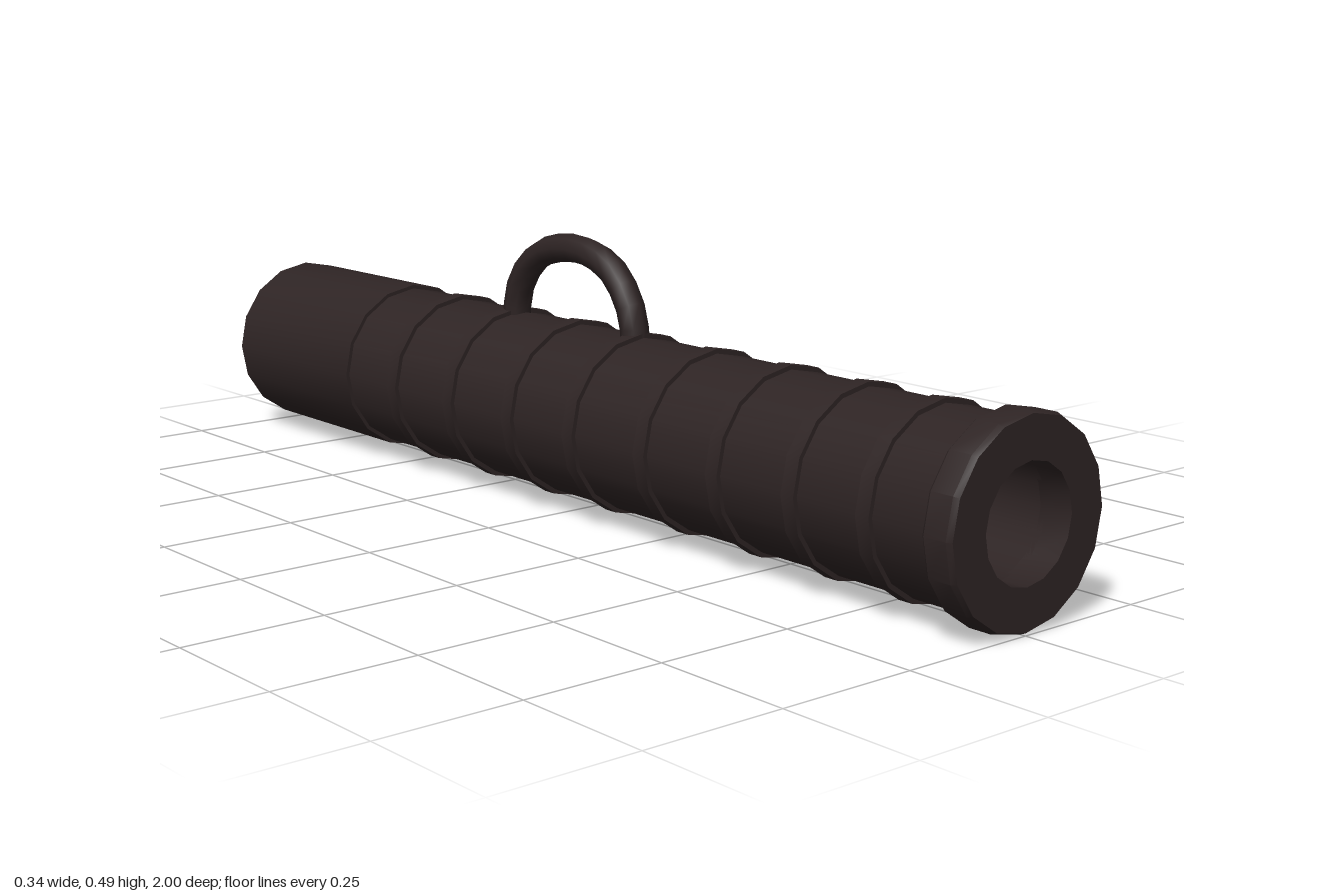
import * as THREE from 'three';
import { toCreasedNormals } from 'three/addons/utils/BufferGeometryUtils.js';

const SIDES = 16;
const AXIS_Y = 0.172;

export function createModel() {
  const group = new THREE.Group();
  const darkMetal = new THREE.MeshStandardMaterial({ color: 0x2e2424 });
  darkMetal.name = 'dark metal';

  const add = (name, geometry) => {
    const mesh = new THREE.Mesh(geometry, darkMetal);
    mesh.name = name;
    group.add(mesh);
    return mesh;
  };

  // Turned part along z: profile of [radius, z], running back to front on the outside
  const turned = (name, profile) => {
    const points = profile.map(([r, z]) => new THREE.Vector2(r, z));
    const geometry = new THREE.LatheGeometry(points, SIDES).rotateX(Math.PI / 2);
    const mesh = add(name, toCreasedNormals(geometry, 0.5));
    mesh.position.y = AXIS_Y;
    return mesh;
  };

  // Main tube with its deep bore
  turned('barrel', [
    [0.155, -0.6], [0.155, 0.95], [0.097, 0.95], [0.097, -0.9], [0, -0.9],
  ]);

  // Flange around the muzzle
  turned('muzzleFlange', [
    [0.097, 0.94], [0.166, 0.94], [0.172, 0.947], [0.172, 0.99],
    [0.168, 1], [0.097, 1], [0.097, 0.94],
  ]);

  // Thicker closed breech with a bevelled end
  turned('breech', [
    [0, -1], [0.146, -1], [0.161, -0.977], [0.162, -0.58], [0.15, -0.58],
  ]);

  // Reinforcing bands
  [0.815, 0.655, 0.48, 0.3, 0.11, -0.065, -0.245, -0.425].forEach((z) => {
    turned('band', [
      [0.15, z - 0.014], [0.163, z - 0.014], [0.163, z + 0.014], [0.15, z + 0.014],
    ]);
  });

  // Arched carrying handle, as [z, y] points
  const arch = [
    [0.1, 0.3], [0.098, 0.345], [0.08, 0.39], [0.04, 0.435], [-0.015, 0.458],
    [-0.075, 0.464], [-0.145, 0.452], [-0.195, 0.423], [-0.228, 0.38],
    [-0.24, 0.335], [-0.242, 0.3],
  ].map(([z, y]) => new THREE.Vector3(0, y, z));
  add('handle', new THREE.TubeGeometry(new THREE.CatmullRomCurve3(arch), 14, 0.026, 8));

  return group;
}
